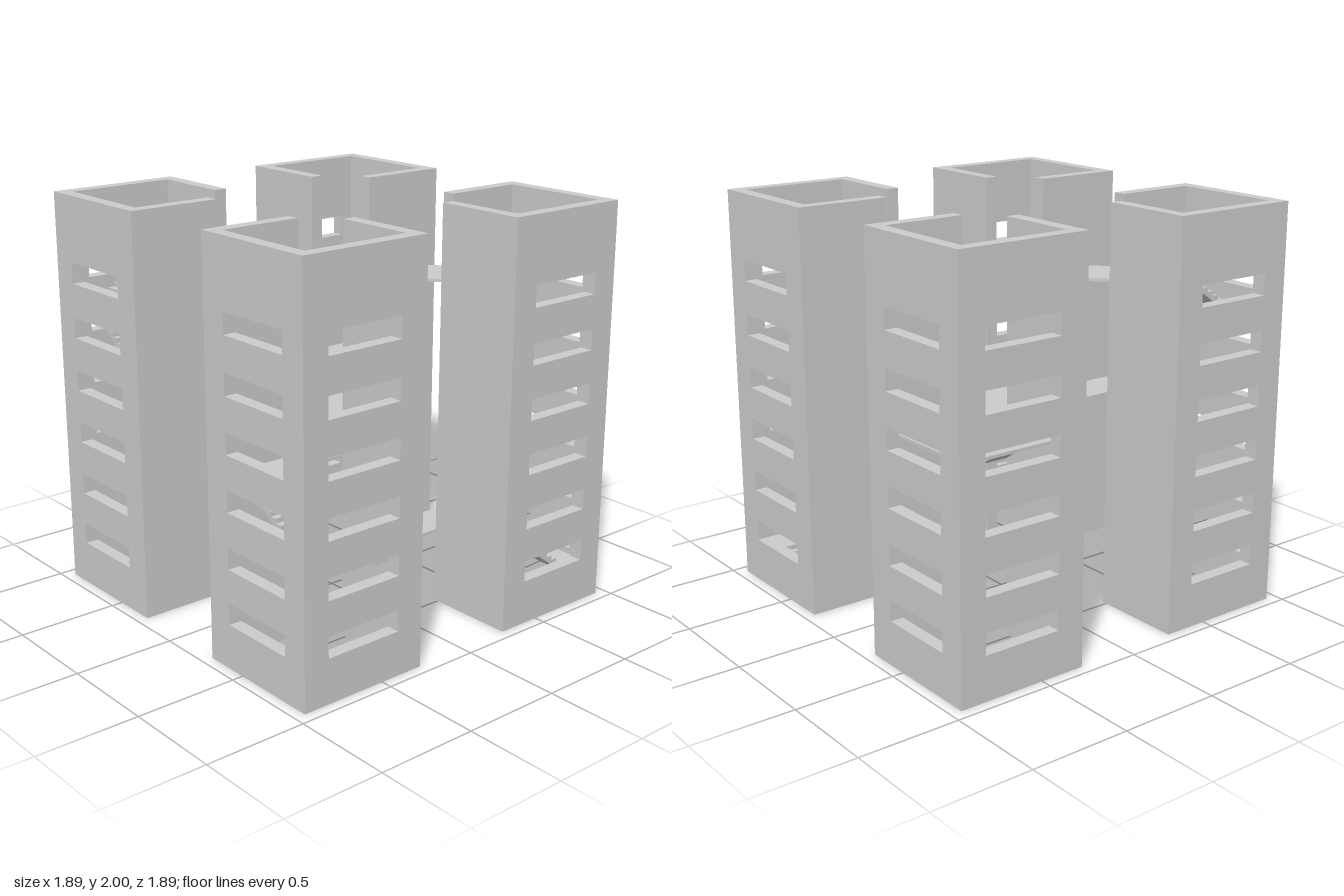
import * as THREE from 'three';

const MAT = new THREE.MeshStandardMaterial({ color: 0xcccccc, flatShading: true });

// Plan distances from the centre: tower faces, wall inner faces, walkway edges
const NEAR = 0.27, FAR = 0.945, T = 0.065, H = 2;
const IN0 = NEAR + T, IN1 = FAR - T;      // clear inside of a tower
const W0 = 0.475, W1 = 0.74;              // stairwell opening
const CN = (IN0 + W0) / 2, CF = (W1 + IN1) / 2; // walkway centre lines
const SLAB = 0.0145;
const WINDOWS = [0.22, 0.49, 0.763, 1.031, 1.298, 1.57];
// Walking levels reached by the four bridges
const L1 = 0.378, L2 = 0.91, L3 = 1.09, L4 = 1.641;

function add(group, geometry, name) {
  const mesh = new THREE.Mesh(geometry, MAT);
  mesh.name = name;
  group.add(mesh);
  return mesh;
}

function polygon(points) {
  return new THREE.Shape(points.map(([x, y]) => new THREE.Vector2(x, y)));
}

// Upright wall panel from u0 to u1, optionally with a column of windows
function wallPanel(u0, u1, windows) {
  const shape = polygon([[u0, 0], [u1, 0], [u1, H], [u0, H]]);
  if (windows) {
    for (const y of WINDOWS) {
      const top = y + 0.104;
      shape.holes.push(polygon([[0.41, y], [0.41, top], [0.812, top], [0.812, y]]));
    }
  }
  return new THREE.ExtrudeGeometry(shape, { depth: T, bevelEnabled: false });
}

// Square tower with two windowed outer walls and an open corner slot facing the centre
function createTower(name, angle) {
  const tower = new THREE.Group();
  tower.name = name;
  add(tower, wallPanel(NEAR, FAR, true).translate(0, 0, IN1), 'outerWallA');
  add(tower, wallPanel(NEAR, IN1, true).rotateY(-Math.PI / 2).translate(FAR, 0, 0), 'outerWallB');
  add(tower, wallPanel(W0, IN1, false).translate(0, 0, NEAR), 'innerWallA');
  add(tower, wallPanel(W0, IN1, false).rotateY(-Math.PI / 2).translate(IN0, 0, 0), 'innerWallB');
  tower.rotation.y = angle;
  return tower;
}

// Flat landing or walkway whose top is at the given level
function slab(group, x0, x1, z0, z1, top, name = 'landing') {
  const g = new THREE.BoxGeometry(x1 - x0, SLAB, z1 - z0);
  g.translate((x0 + x1) / 2, top - SLAB / 2, (z0 + z1) / 2);
  return add(group, g, name);
}

// Eight-step flight with a sloping soffit, climbing along +x before turning
function flight(group, x, z, angle, y0, y1) {
  const n = 8, run = W1 - W0, rise = y1 - y0, drop = 0.024, width = IN1 - W1;
  const pts = y0 === 0
    ? [[0, 0], [drop * run / rise, 0]]   // foot rests on the ground
    : [[0, -drop]];
  pts.push([run, rise - drop]);
  for (let i = n - 1; i >= 0; i--) {
    const h = rise * (i + 1) / n;
    pts.push([run * (i + 1) / n, h], [run * i / n, h]);
  }
  // drop the repeated point where the foot meets the first riser
  const g = new THREE.ExtrudeGeometry(polygon(pts), { depth: width, bevelEnabled: false });
  g.translate(0, 0, -width / 2);
  const mesh = add(group, g, 'stairFlight');
  mesh.rotation.y = angle;
  mesh.position.set(x, y0, z);
}

// Diagonal bridge with square ends filling the corner slots of two towers
function diagonalBridge(group, top, angle, name) {
  const a = NEAR, b = W0;
  const shape = polygon([[-b, -b], [-a, -b], [b, a], [b, b], [a, b], [-b, -a]]);
  const g = new THREE.ExtrudeGeometry(shape, { depth: SLAB, bevelEnabled: false });
  g.rotateX(-Math.PI / 2).translate(0, top - SLAB, 0);
  add(group, g, name).rotation.y = angle;
}

export function createModel() {
  const model = new THREE.Group();
  model.name = 'towers';
  const EAST = 0, NORTH = Math.PI / 2, WEST = Math.PI, SOUTH = -Math.PI / 2;

  // Four identical towers turned about the centre
  ['frontLeftTower', 'backLeftTower', 'backRightTower', 'frontRightTower']
    .forEach((name, i) => model.add(createTower(name, i * Math.PI / 2)));

  // Bridges between towers
  const bridges = new THREE.Group();
  bridges.name = 'bridges';
  slab(bridges, NEAR, W0, -W0, W0, L1, 'lowBridge');
  diagonalBridge(bridges, L2, Math.PI / 2, 'lowDiagonalBridge');
  slab(bridges, -W0, -NEAR, -W0, W0, L3, 'highBridge');
  diagonalBridge(bridges, L4, 0, 'highDiagonalBridge');
  model.add(bridges);

  const stairGroup = (name) => {
    const g = new THREE.Group();
    g.name = name;
    model.add(g);
    return g;
  };

  // +x, -z tower: two flights from the ground to the low bridge
  let s = stairGroup('groundStairs');
  flight(s, W0, -CF, EAST, 0, L1 / 2);
  slab(s, W1, IN1, -IN1, -W1, L1 / 2);
  flight(s, CF, -W1, SOUTH, L1 / 2, L1);
  slab(s, W0, IN1, -W0, -IN0, L1, 'walkway');

  // +x, +z tower: three flights up to the low diagonal bridge
  s = stairGroup('lowerStairs');
  let r = (L2 - L1) / 3;
  flight(s, W0, CN, EAST, L1, L1 + r);
  slab(s, W1, IN1, IN0, W0, L1 + r);
  flight(s, CF, W0, SOUTH, L1 + r, L1 + 2 * r);
  slab(s, W1, IN1, W1, IN1, L1 + 2 * r);
  flight(s, W1, CF, WEST, L1 + 2 * r, L2);
  slab(s, IN0, W0, W0, IN1, L2, 'walkway');

  // -x, -z tower: one flight, then a level gallery round to the high bridge
  s = stairGroup('middleStairs');
  flight(s, -W0, -CN, WEST, L2, L3);
  slab(s, -IN1, -W1, -IN1, -IN0, L3, 'gallerySide');
  slab(s, -W1, -W0, -IN1, -0.77, L3, 'galleryBack');
  slab(s, -W0, -IN0, -IN1, -W0, L3, 'galleryReturn');

  // -x, +z tower: three flights up to the high diagonal bridge
  s = stairGroup('upperStairs');
  r = (L4 - L3) / 3;
  flight(s, -CN, W0, SOUTH, L3, L3 + r);
  slab(s, -W0, -IN0, W1, IN1, L3 + r);
  flight(s, -W0, CF, WEST, L3 + r, L3 + 2 * r);
  slab(s, -IN1, -W1, W1, IN1, L3 + 2 * r);
  flight(s, -CF, W1, NORTH, L3 + 2 * r, L4);
  slab(s, -IN1, -W0, IN0, W0, L4, 'walkway');

  return model;
}
